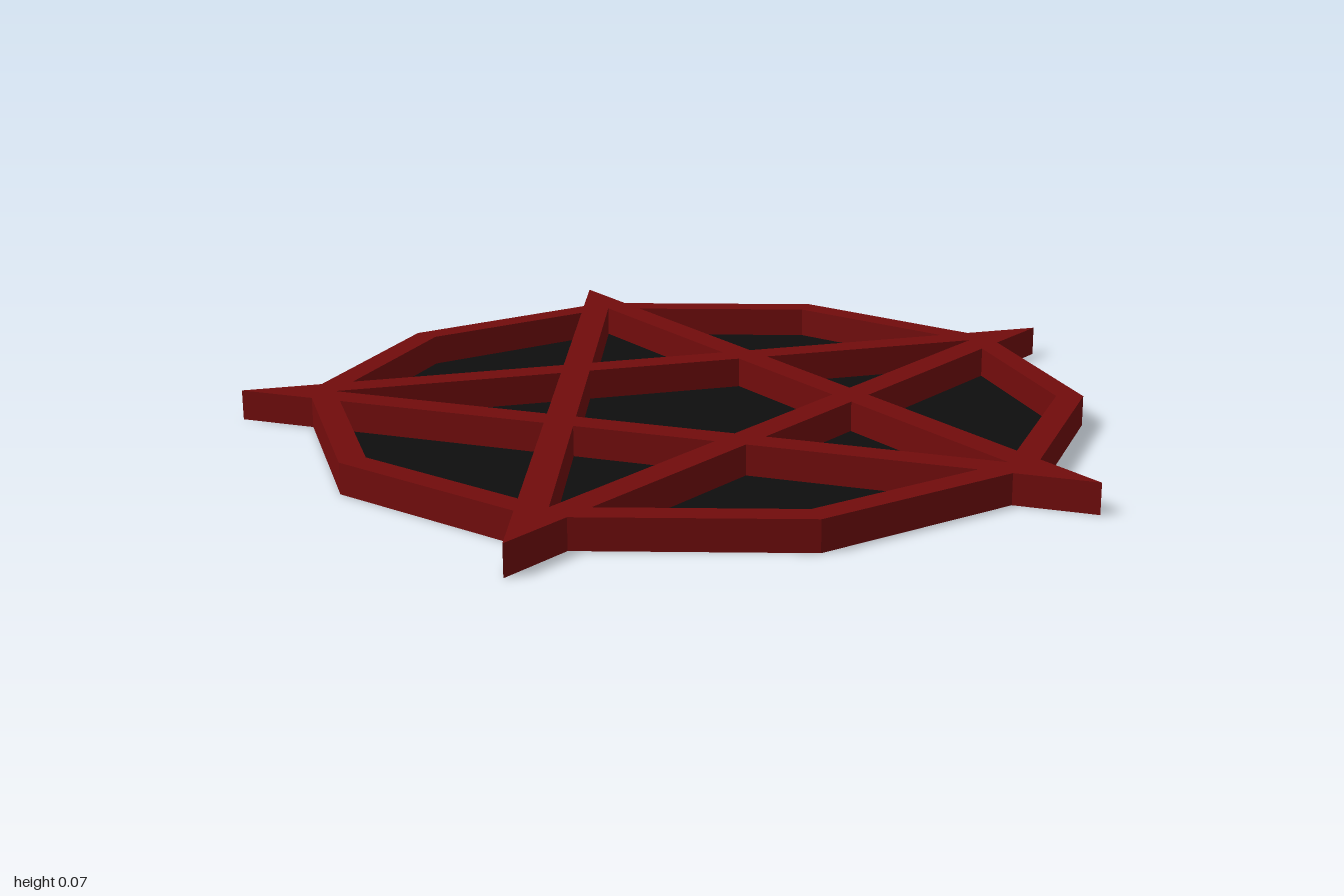
import * as THREE from 'three';

const HEIGHT = 0.07;          // height of the frame
const TIP = 1.051;            // star circumradius
const RIM = 0.895;            // decagon outer radius
const RIM_IN = 0.833;         // decagon inner radius
const BAR = 0.067;            // width of the star bars
const CENTRE_Z = -0.08;
const STEP = Math.PI * 2 / 5;
const HALF = STEP / 2;
const CHORD = TIP * Math.cos(STEP);       // distance of a bar's outer edge from the centre
const NOTCH = CHORD / Math.cos(HALF);     // radius where two outer edges meet

// Plan point: angle 0 points to the front, increasing towards +x
const polar = (r, a) => new THREE.Vector2(r * Math.sin(a), -r * Math.cos(a));

// Point where a star edge (tip to notch) crosses a decagon edge of radius r
function crossing(r, tipAngle, side) {
  const a = polar(TIP, tipAngle);
  const b = polar(NOTCH, tipAngle + side * HALF);
  const mid = tipAngle + side * HALF / 2;
  const n = polar(1, mid);
  const t = (r * Math.cos(HALF / 2) - a.dot(n)) / (b.dot(n) - a.dot(n));
  return a.lerp(b, t);
}

// Upright walls along a closed outline; reversed for openings
function wallGeometry(points, reversed) {
  const pts = reversed ? [...points].reverse() : points;
  const pos = [];
  pts.forEach((a, i) => {
    const b = pts[(i + 1) % pts.length];
    pos.push(a.x, a.y, 0, b.x, b.y, 0, b.x, b.y, HEIGHT);
    pos.push(a.x, a.y, 0, b.x, b.y, HEIGHT, a.x, a.y, HEIGHT);
  });
  const geo = new THREE.BufferGeometry();
  geo.setAttribute('position', new THREE.Float32BufferAttribute(pos, 3));
  geo.computeVertexNormals();
  return geo;
}

export function createModel() {
  const group = new THREE.Group();
  group.name = 'starInDecagon';

  const red = new THREE.MeshStandardMaterial({ color: 0x720c0c, side: THREE.DoubleSide });
  red.name = 'darkRed';
  const black = new THREE.MeshStandardMaterial({ color: 0x0e0e0e, side: THREE.DoubleSide });
  black.name = 'black';

  const add = (name, geo, mat) => {
    geo.rotateX(-Math.PI / 2);
    geo.translate(0, 0, CENTRE_Z);
    const mesh = new THREE.Mesh(geo, mat);
    mesh.name = name;
    group.add(mesh);
  };

  // Outline and openings, repeated around the five tips
  const outline = [];
  const openings = [];
  const apex = TIP - BAR / Math.sin(Math.PI / 10);
  const baseHalf = (apex - CHORD) * Math.tan(Math.PI / 10);
  const baseR = Math.hypot(CHORD, baseHalf);
  const baseA = Math.atan2(baseHalf, CHORD);
  const pentagon = [];
  for (let k = 0; k < 5; k++) {
    const a = k * STEP;
    outline.push(crossing(RIM, a, -1), polar(TIP, a), crossing(RIM, a, 1), polar(RIM, a + HALF));
    pentagon.push(polar((CHORD - BAR) / Math.cos(HALF), a + HALF));
    // opening inside a star arm
    openings.push([polar(baseR, a - baseA), polar(apex, a), polar(baseR, a + baseA)]);
    // opening between two star arms
    openings.push([
      polar(NOTCH, a + HALF),
      crossing(RIM_IN, a, 1),
      polar(RIM_IN, a + HALF),
      crossing(RIM_IN, a + STEP, -1),
    ]);
  }
  openings.push(pentagon);

  // Top face of rim and star
  const shape = new THREE.Shape(outline);
  shape.holes = openings.map((pts) => new THREE.Path(pts));
  const top = new THREE.ShapeGeometry(shape);
  top.translate(0, 0, HEIGHT);
  add('frameTop', top, red);

  // Walls; the frame is hollow and open underneath
  add('outerWall', wallGeometry(outline, false), red);
  openings.forEach((pts) => {
    add('innerWall', wallGeometry(pts, true), red);
    // Floor panel closing each opening
    add('floorPanel', new THREE.ShapeGeometry(new THREE.Shape(pts)), black);
  });

  return group;
}
